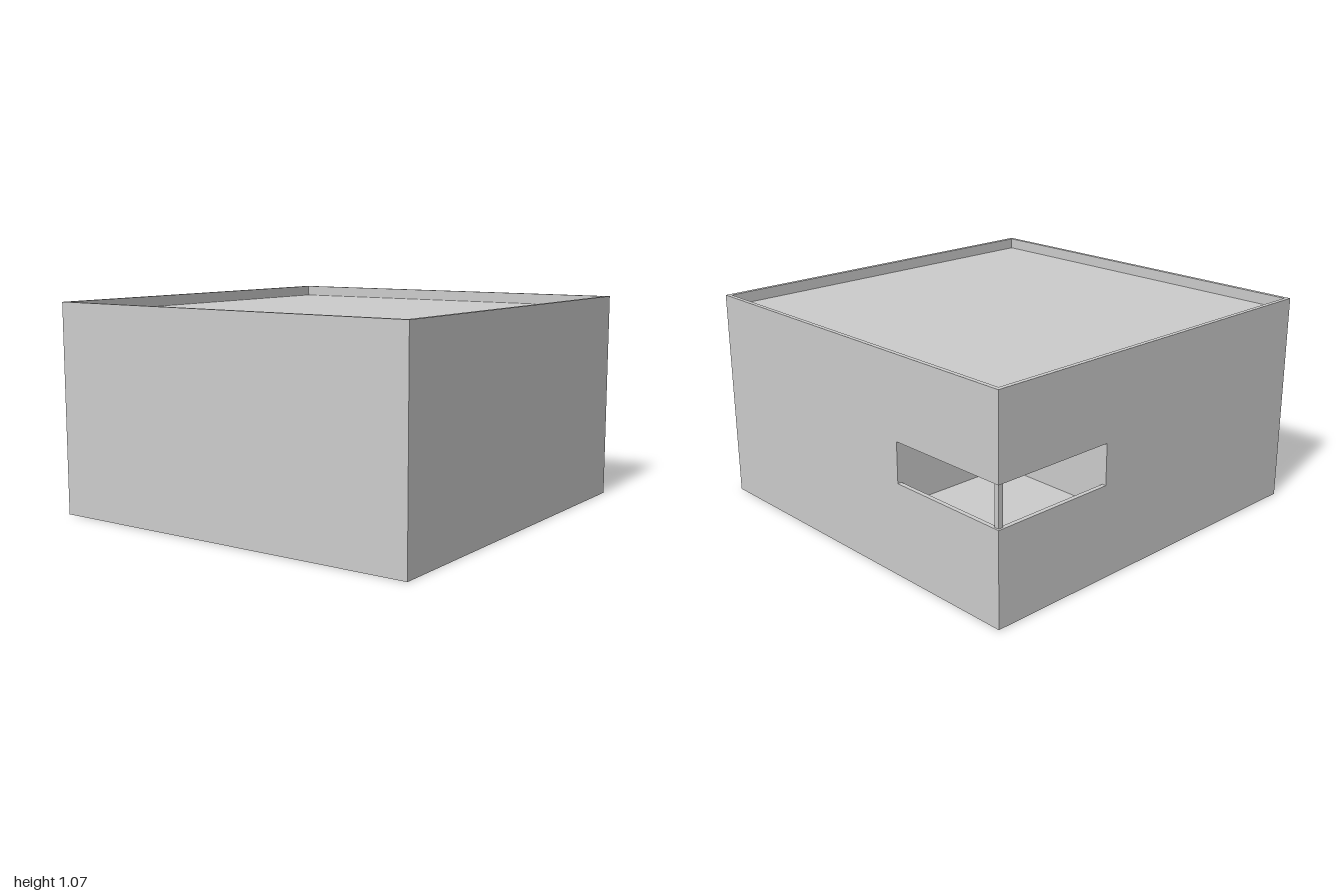
import * as THREE from 'three';

const material = new THREE.MeshStandardMaterial({ color: 0xcccccc, flatShading: true });

// Plan outline given as [x, back] pairs (back = -z), raised from y0 to y1
function slab(name, points, y0, y1, hole) {
  const toVectors = (list) => list.map(([x, b]) => new THREE.Vector2(x, b));
  const shape = new THREE.Shape(toVectors(points));
  if (hole) shape.holes.push(new THREE.Path(toVectors(hole)));
  const geometry = new THREE.ExtrudeGeometry(shape, { depth: y1 - y0, bevelEnabled: false });
  geometry.rotateX(-Math.PI / 2);
  geometry.translate(0, y0, 0);
  const mesh = new THREE.Mesh(geometry, material);
  mesh.name = name;
  return mesh;
}

const rect = (a, b) => [[a, a], [b, a], [b, b], [a, b]];

export function createModel() {
  const group = new THREE.Group();
  group.name = 'building';

  const wall = 0.022;       // parapet thickness
  const inner = 1 - wall;
  const recess = 0.35;      // where the corner balcony starts
  const floorY = 0.35, sillY = 0.46, ceilingY = 0.66, roofY = 1.01, topY = 1.065;

  // Solid lower storey, its top is the balcony floor
  group.add(slab('lowerStorey', rect(-1, 1), 0, floorY));

  // Middle storey with the back corner cut away
  group.add(slab('middleStorey',
    [[-1, -1], [1, -1], [1, recess], [recess, recess], [recess, 1], [-1, 1]],
    floorY, ceilingY));

  // Low wall around the balcony
  group.add(slab('balconyParapet',
    [[inner, recess], [1, recess], [1, 1], [recess, 1], [recess, inner], [inner, inner]],
    floorY, sillY));

  // Slim post at the open corner
  group.add(slab('cornerPost', rect(0.965, 0.99), sillY, ceilingY));

  // Upper storey and the rim around the flat roof
  group.add(slab('upperStorey', rect(-1, 1), ceilingY, roofY));
  group.add(slab('roofParapet', rect(-1, 1), roofY, topY, rect(-inner, inner)));

  return group;
}
